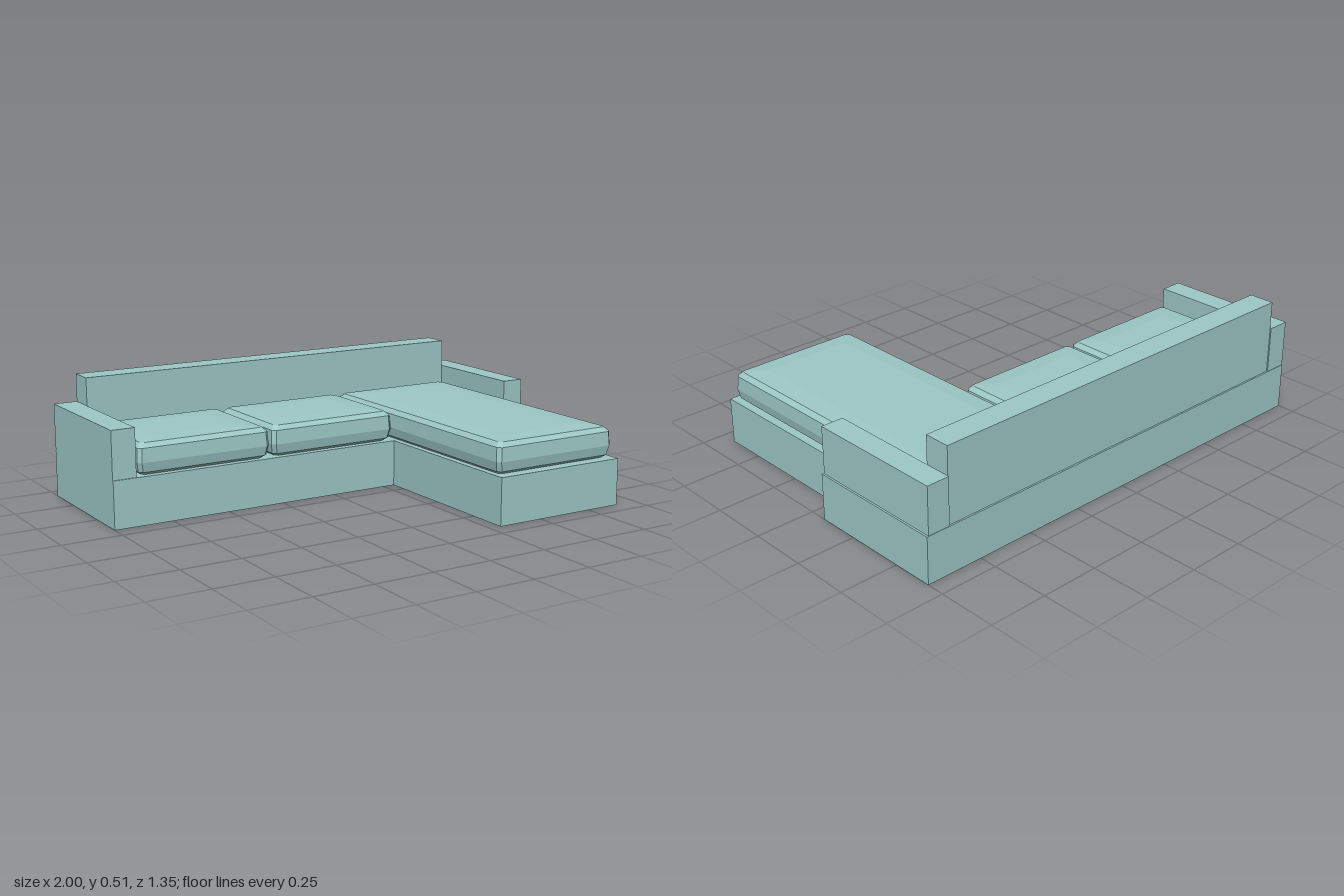
import * as THREE from 'three';

const fabric = new THREE.MeshStandardMaterial({ color: 0x9cc8c6 });
fabric.name = 'seafoam fabric';

function addMesh(group, name, geometry) {
  const mesh = new THREE.Mesh(geometry, fabric);
  mesh.name = name;
  group.add(mesh);
}

// Box given by its extents
function block(x0, x1, y0, y1, z0, z1) {
  return new THREE.BoxGeometry(x1 - x0, y1 - y0, z1 - z0)
    .translate((x0 + x1) / 2, (y0 + y1) / 2, (z0 + z1) / 2);
}

// Cushion section: [height, inset from the outline]
const CUSHION = [
  [0.197, 0.025], [0.21, 0.008], [0.25, 0], [0.308, 0.004], [0.326, 0.022], [0.332, 0.1],
];

// Faceted cushion from stacked rectangles with clipped corners
function cushion(x0, x1, z0, z1) {
  const cx = (x0 + x1) / 2, cz = (z0 + z1) / 2, clip = 0.015, n = 8;
  const positions = [], index = [];
  for (const [y, inset] of CUSHION) {
    const w = (x1 - x0) / 2 - inset, d = (z1 - z0) / 2 - inset;
    const ring = [
      [w, -d + clip], [w, d - clip], [w - clip, d], [-w + clip, d],
      [-w, d - clip], [-w, -d + clip], [-w + clip, -d], [w - clip, -d],
    ];
    for (const [x, z] of ring) positions.push(cx + x, y, cz + z);
  }
  const last = CUSHION.length - 1;
  const bottom = positions.length / 3, top = bottom + 1;
  positions.push(cx, CUSHION[0][0], cz, cx, CUSHION[last][0], cz);
  for (let i = 0; i < n; i++) {
    const j = (i + 1) % n;
    for (let k = 0; k < last; k++) {
      const a = k * n + i, b = k * n + j;
      index.push(a, a + n, b + n, a, b + n, b);
    }
    index.push(bottom, i, j, top, last * n + j, last * n + i);
  }
  const indexed = new THREE.BufferGeometry();
  indexed.setAttribute('position', new THREE.Float32BufferAttribute(positions, 3));
  indexed.setIndex(index);
  const geometry = indexed.toNonIndexed();
  geometry.computeVertexNormals();
  return geometry;
}

export function createModel() {
  const sofa = new THREE.Group();
  sofa.name = 'cornerSofa';

  // L-shaped plinth, outlined in (x, -z) and raised upwards
  const outline = new THREE.Shape([
    [-1, 0.675], [-1, 0.075], [0.3, 0.075], [0.3, -0.675],
    [0.9, -0.675], [0.9, 0.075], [1, 0.075], [1, 0.675],
  ].map(([x, y]) => new THREE.Vector2(x, y)));
  addMesh(sofa, 'base',
    new THREE.ExtrudeGeometry(outline, { depth: 0.197, bevelEnabled: false }).rotateX(-Math.PI / 2));

  // Backrest and arms
  addMesh(sofa, 'backrest', block(-0.9, 0.895, 0.197, 0.514, -0.668, -0.558));
  addMesh(sofa, 'rightArm', block(-1, -0.9, 0.197, 0.396, -0.673, -0.08));
  addMesh(sofa, 'leftArm', block(0.895, 0.992, 0.197, 0.396, -0.673, -0.08));

  // Two seats and the long chaise cushion
  addMesh(sofa, 'rightCushion', cushion(-0.89, -0.304, -0.55, -0.08));
  addMesh(sofa, 'middleCushion', cushion(-0.292, 0.294, -0.55, -0.08));
  addMesh(sofa, 'chaiseCushion', cushion(0.302, 0.886, -0.55, 0.65));

  return sofa;
}
